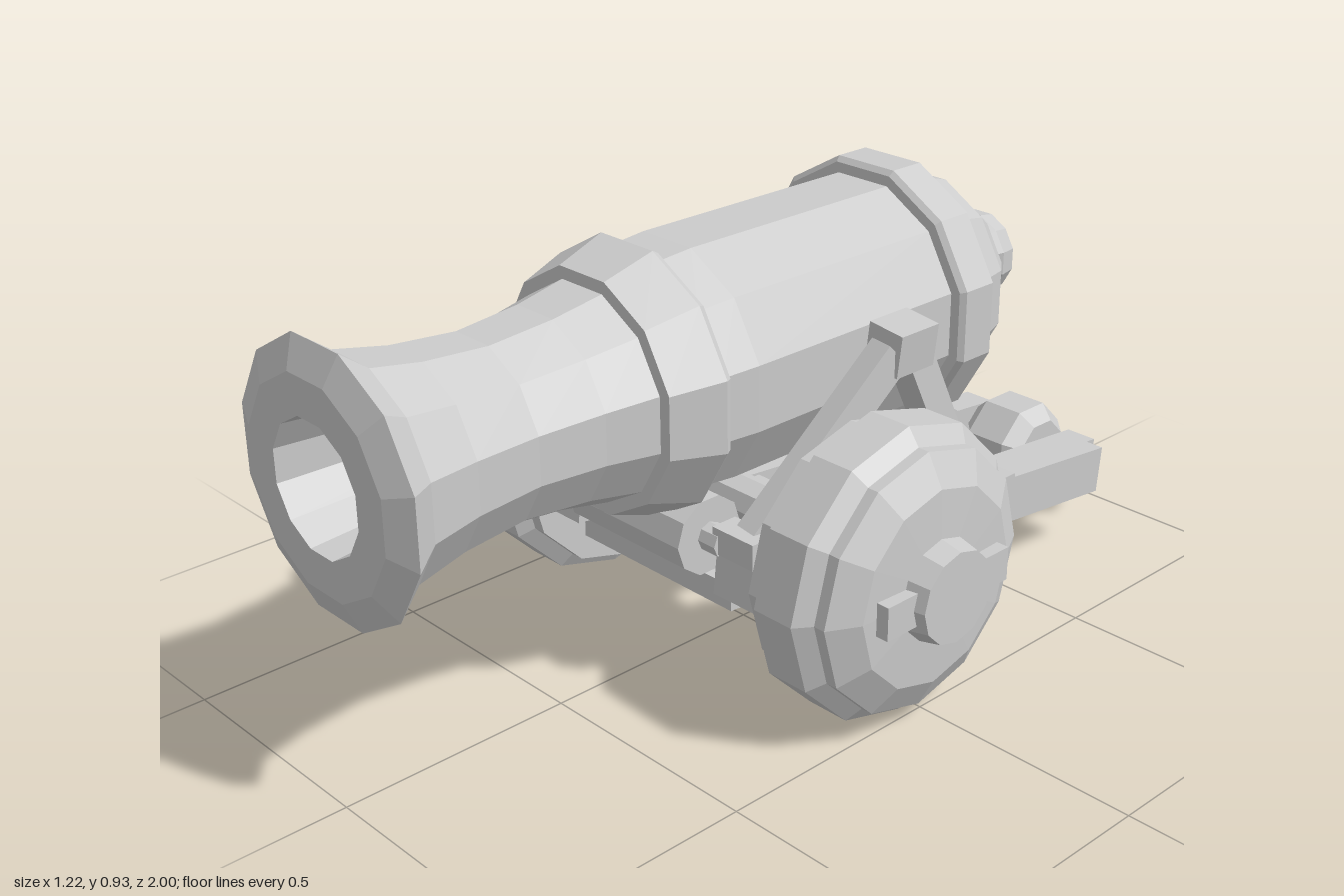
import * as THREE from 'three';

const mat = new THREE.MeshStandardMaterial({ color: 0xcccccc, flatShading: true, side: THREE.DoubleSide });

export function createModel() {
  const model = new THREE.Group();

  const add = (name, geo, x = 0, y = 0, z = 0) => {
    const m = new THREE.Mesh(geo, mat);
    m.name = name;
    m.position.set(x, y, z);
    model.add(m);
    return m;
  };
  const box = (name, x, y, z, w, h, d) => add(name, new THREE.BoxGeometry(w, h, d), x, y, z);

  // Faceted turned part: profile of [radius, position along axis]
  const turned = (profile, sides, flatTop) => {
    const k = flatTop ? 1 / Math.cos(Math.PI / sides) : 1;
    const pts = profile.map(([r, t]) => new THREE.Vector2(r * k, t));
    return new THREE.LatheGeometry(pts, sides, flatTop ? Math.PI / sides : 0);
  };

  // Straight timber between two points
  const timber = (name, a, b, w, h) => {
    const p = new THREE.Vector3(...a), q = new THREE.Vector3(...b);
    const m = add(name, new THREE.BoxGeometry(w, h, p.distanceTo(q)));
    m.position.copy(p).lerp(q, 0.5);
    m.lookAt(q);
    return m;
  };

  // Cylinder lying across the carriage
  const crossRod = (name, y, z, r, length, sides) =>
    add(name, new THREE.CylinderGeometry(r, r, length, sides).rotateZ(Math.PI / 2), 0, y, z);

  // Barrel, from the rear knob over the muzzle and back into the bore
  const barrel = turned([
    [0, -0.79], [0.03, -0.785], [0.088, -0.74], [0.095, -0.7], [0.06, -0.63],
    [0.11, -0.625], [0.165, -0.605], [0.22, -0.535], [0.25, -0.44],
    [0.272, -0.44], [0.283, -0.43], [0.283, -0.35], [0.272, -0.34], [0.25, -0.34],
    [0.25, 0.2], [0.243, 0.285], [0.262, 0.285], [0.27, 0.3], [0.235, 0.41],
    [0.21, 0.41], [0.19, 0.52], [0.178, 0.66], [0.19, 0.8], [0.212, 0.91],
    [0.26, 0.975], [0.2, 1], [0.125, 1], [0.085, 0.5], [0, 0.5],
  ], 12, true).rotateX(Math.PI / 2);
  add('barrel', barrel, 0, 0.643, 0);

  // Wheel profile, running outward from the inner face
  const wheelGeo = turned([
    [0, 0.33], [0.27, 0.33], [0.27, 0.36], [0.305, 0.38], [0.305, 0.475],
    [0.27, 0.5], [0.27, 0.525], [0.205, 0.56], [0.105, 0.565], [0.095, 0.612], [0, 0.612],
  ], 12, false).rotateZ(-Math.PI / 2);

  for (const s of [1, -1]) {
    const wheel = add('wheel', wheelGeo, 0, 0.305, 0.035);
    if (s < 0) wheel.rotation.y = Math.PI;
    box('linchpin', s * 0.567, 0.305, 0.035, 0.045, 0.07, 0.34);

    // Sloping side beams and inner trail rails
    timber('sideBeam', [s * 0.258, 0.295, 0.27], [s * 0.258, 0.182, -0.81], 0.11, 0.105);
    timber('trailRail', [s * 0.155, 0.225, 0.2], [s * 0.155, 0.12, -0.95], 0.075, 0.1);

    // Leaning A-frame that carries the barrel
    timber('frontStrut', [s * 0.25, 0.33, 0.24], [s * 0.305, 0.67, -0.1], 0.055, 0.07);
    timber('rearStrut', [s * 0.265, 0.24, -0.39], [s * 0.305, 0.68, -0.14], 0.055, 0.075);
    box('strutCap', s * 0.3, 0.675, -0.137, 0.085, 0.09, 0.105).rotation.z = -s * 0.12;
    box('frontClamp', s * 0.25, 0.355, 0.24, 0.11, 0.055, 0.06);
    box('rearClamp', s * 0.285, 0.28, -0.43, 0.13, 0.05, 0.05);
  }

  // Axles, bed rollers and cross members
  crossRod('mainAxle', 0.305, 0.035, 0.05, 0.7, 8);
  crossRod('frontRoller', 0.345, 0.25, 0.082, 0.33, 10);
  crossRod('rearRoller', 0.31, -0.44, 0.085, 0.34, 10);
  crossRod('frontRollerPin', 0.345, 0.25, 0.03, 0.42, 8);
  crossRod('rearRollerPin', 0.31, -0.44, 0.03, 0.42, 8);
  box('frontCrossBeam', 0, 0.225, 0.2, 0.44, 0.055, 0.09);
  box('middleCrossBeam', 0, 0.21, -0.12, 0.42, 0.055, 0.08);
  box('rearCrossBeam', 0, 0.205, -0.44, 0.42, 0.06, 0.08);

  // Tail wheel on its small axle
  const tail = turned([[0, -0.085], [0.075, -0.085], [0.105, -0.05], [0.105, 0.05], [0.075, 0.085], [0, 0.085]], 8, true);
  add('tailWheel', tail.rotateZ(-Math.PI / 2), 0, 0.117, -0.895);
  crossRod('tailAxle', 0.117, -0.895, 0.032, 0.44, 8);

  return model;
}
